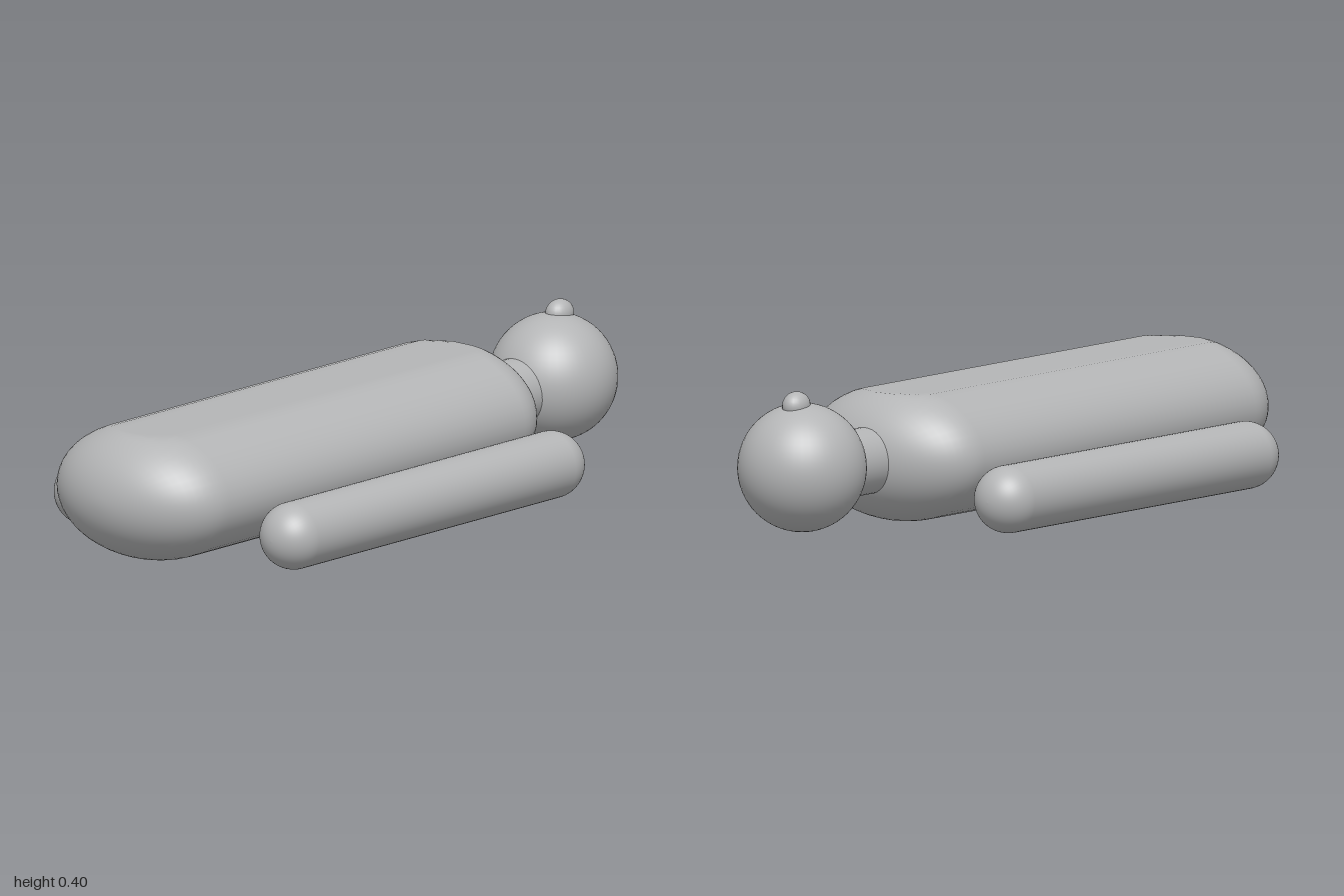
import * as THREE from 'three';
import { mergeVertices } from 'three/addons/utils/BufferGeometryUtils.js';

const grey = new THREE.MeshStandardMaterial({ color: 0xb4b5b6 });
grey.name = 'grey';

// Round-ended bar of unit radius along z; each end cap has its own depth
function bar(zBack, backDepth, zFront, frontDepth) {
  const points = [];
  const steps = 16;
  for (let i = 0; i <= steps; i++) {
    const a = (i / steps) * Math.PI / 2;
    points.push(new THREE.Vector2(Math.sin(a), zBack + backDepth * (1 - Math.cos(a))));
  }
  for (let i = steps; i >= 0; i--) {
    const a = (i / steps) * Math.PI / 2;
    points.push(new THREE.Vector2(Math.sin(a), zFront - frontDepth * (1 - Math.cos(a))));
  }
  return new THREE.LatheGeometry(points, 48).rotateX(Math.PI / 2);
}

export function createModel() {
  const model = new THREE.Group();
  model.name = 'figure';
  const add = (name, geometry, x, y, z) => {
    const mesh = new THREE.Mesh(geometry, grey);
    mesh.name = name;
    mesh.position.set(x, y, z);
    model.add(mesh);
    return mesh;
  };

  // Body: wide oval bar with its upper side levelled off
  let body = bar(-0.575, 0.18, 0.998, 0.208).scale(0.283, 0.183, 1);
  const pos = body.attributes.position;
  for (let i = 0; i < pos.count; i++) pos.setY(i, Math.min(pos.getY(i), 0.167));
  body.deleteAttribute('uv');
  body.deleteAttribute('normal');
  body = mergeVertices(body, 1e-5);
  body.computeVertexNormals();
  add('body', body, 0, 0.185, 0);

  // Arms lying along both sides
  for (const side of [1, -1]) {
    const arm = bar(-0.493, 0.091, 0.723, 0.091).scale(0.091, 0.091, 1);
    add(side > 0 ? 'leftArm' : 'rightArm', arm, side * 0.366, 0.092, 0);
  }

  // Neck, head and nose
  add('neck', new THREE.CylinderGeometry(0.09, 0.09, 0.26, 40).rotateX(Math.PI / 2), 0, 0.18, -0.62);
  add('head', new THREE.SphereGeometry(0.173, 48, 32), 0, 0.194, -0.827);
  add('nose', new THREE.SphereGeometry(1, 24, 16).scale(0.035, 0.038, 0.043), 0, 0.363, -0.852);

  return model;
}
